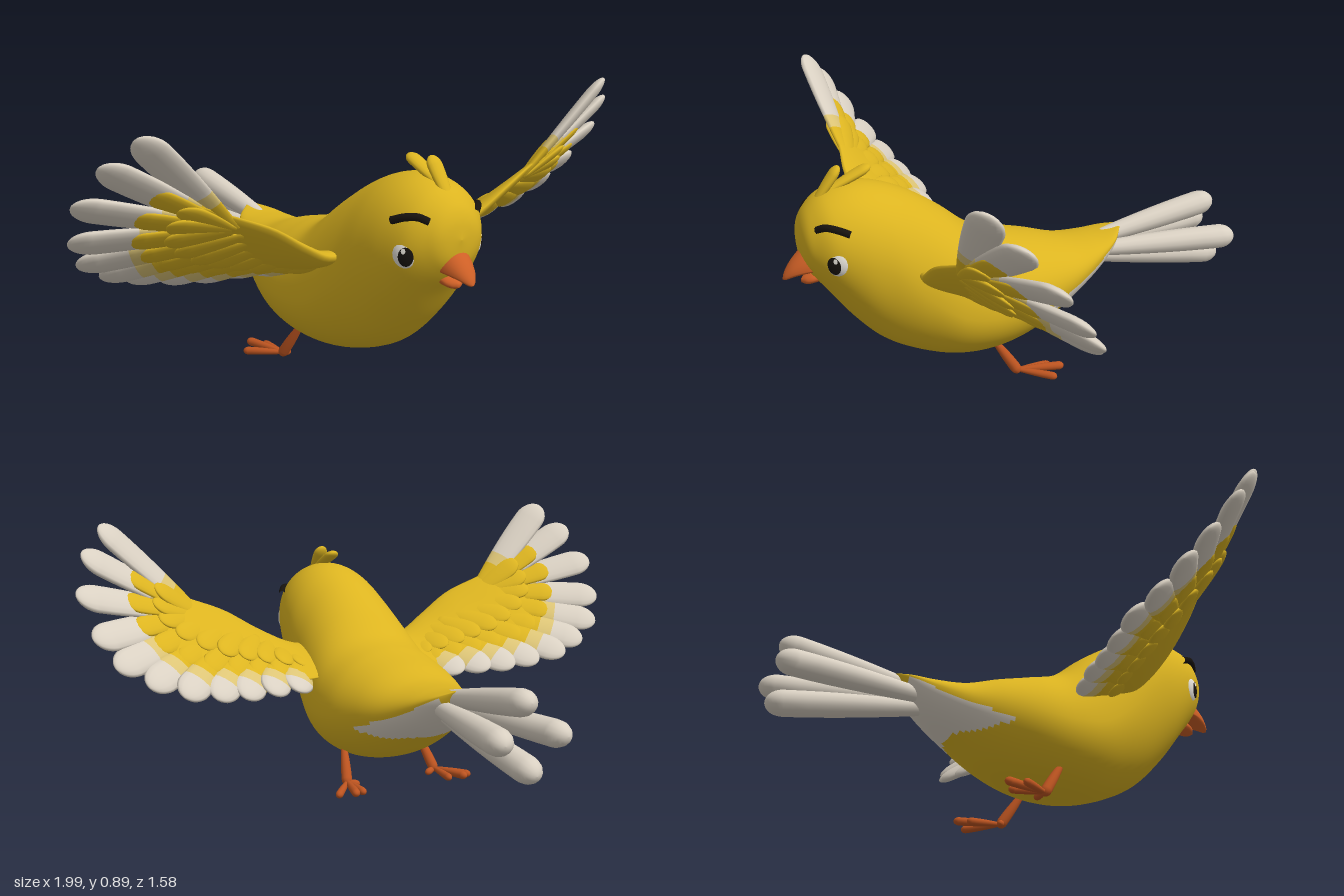
import * as THREE from 'three';

const V = (x, y, z) => new THREE.Vector3(x, y, z);
const mat = (name, color) => {
  const m = new THREE.MeshStandardMaterial({ color });
  m.name = name;
  return m;
};
const yellow = mat('yellow plumage', 0xdcb420);
const paleYellow = mat('pale yellow blend', 0xdcc476);
const cream = mat('cream feather', 0xd9d0c2);
const orange = mat('orange beak', 0xcf6026);
const rust = mat('rust legs', 0xbd5420);
const eyeWhite = mat('eye white', 0xe9e5dc);
const black = mat('black', 0x17130f);

// Closed smooth skin over rings of points; pick(i, j) chooses the material of each face
function loft(name, rings, mats, pick = () => 0) {
  const centre = r => r.reduce((s, p) => s.add(p), V(0, 0, 0)).divideScalar(r.length);
  const cap = r => r.map(() => centre(r));
  const all = [cap(rings[0]), ...rings, cap(rings[rings.length - 1])];
  const n = rings[0].length, pts = all.flat();
  const faces = mats.map(() => []);
  let volume = 0;
  const c = new THREE.Vector3();
  const tri = (list, a, b, d) => {
    list.push(a, b, d);
    volume += pts[a].dot(c.crossVectors(pts[b], pts[d]));
  };
  for (let i = 0; i < all.length - 1; i++) for (let j = 0; j < n; j++) {
    const k = (j + 1) % n, a = i * n + j, b = i * n + k;
    const list = faces[pick(Math.min(Math.max(i - 1, 0), rings.length - 2), j)];
    tri(list, a, b, b + n);
    tri(list, a, b + n, a + n);
  }
  if (volume < 0) faces.forEach(f => f.reverse());
  const g = new THREE.BufferGeometry().setFromPoints(pts);
  g.setIndex(faces.flat());
  let start = 0;
  if (mats.length > 1) faces.forEach((f, m) => { g.addGroup(start, f.length, m); start += f.length; });
  g.computeVertexNormals();
  const mesh = new THREE.Mesh(g, mats.length > 1 ? mats : mats[0]);
  mesh.name = name;
  return mesh;
}

// Egg-shaped slices along z, each [z, bottom, top, half width, height of widest point]
function sliceLoft(name, slices, steps, sides, mats, pick) {
  const a = new THREE.CatmullRomCurve3(slices.map(s => V(s[0], s[1], s[2])), false, 'catmullrom');
  const b = new THREE.CatmullRomCurve3(slices.map(s => V(s[3], s[4], 0)), false, 'catmullrom');
  const rings = [];
  for (let i = 0; i <= steps; i++) {
    const p = a.getPoint(i / steps), q = b.getPoint(i / steps);
    rings.push(Array.from({ length: sides }, (_, j) => {
      const t = j / sides * Math.PI * 2, s = Math.sin(t);
      return V(Math.max(q.x, 0) * Math.cos(t), q.y + s * (s > 0 ? p.z - q.y : q.y - p.y), p.x);
    }));
  }
  return loft(name, rings, mats, pick && ((i, j) => pick(rings[i][0].z, Math.sin((j + .5) / sides * Math.PI * 2))));
}

// Round-tipped blade from base to tip; tipLength of it takes the later materials
function feather(name, base, tip, width, thick, normal, mats, tipLength = 0) {
  const d = tip.clone().sub(base), len = d.length();
  d.normalize();
  const side = normal.clone().cross(d).normalize(), up = d.clone().cross(side);
  const round = 1 - 1.3 * width / len, split = 1 - tipLength / len, band = .05 / len;
  const ts = [];
  for (let i = 0; i <= 8; i++) ts.push(round * i / 8);
  for (let i = 1; i <= 8; i++) ts.push(round + (1 - round) * Math.sin(i / 8 * Math.PI / 2));
  if (mats.length > 1) ts.push(split, split - band);
  ts.sort((a, b) => a - b);
  const rings = ts.map(t => {
    const u = (t - round) / (1 - round);
    const r = t > round ? Math.sqrt(Math.max(0, 1 - u * u)) : .5 + .5 * Math.sin(t / round * Math.PI / 2);
    const p = base.clone().addScaledVector(d, t * len);
    return Array.from({ length: 14 }, (_, j) => {
      const a = j / 14 * Math.PI * 2;
      return p.clone().addScaledVector(side, Math.cos(a) * r * width).addScaledVector(up, Math.sin(a) * r * thick);
    });
  });
  return loft(name, rings, mats, i => {
    const t = (ts[i] + ts[i + 1]) / 2;
    return mats.length < 2 || t < split - band ? 0 : t < split ? 1 : 2;
  });
}

// Mirrored copy of a mesh across x
function mirror(mesh) {
  mesh.updateMatrix();
  const g = mesh.geometry.clone().applyMatrix4(mesh.matrix).applyMatrix4(new THREE.Matrix4().makeScale(-1, 1, 1));
  const ix = g.index.array;
  for (let i = 0; i < ix.length; i += 3) [ix[i], ix[i + 1]] = [ix[i + 1], ix[i]];
  const m = new THREE.Mesh(g, mesh.material);
  m.name = mesh.name;
  return m;
}

function buildWing() {
  const parts = [];
  // Fleshy yellow arm between leading and trailing edges
  const lead = new THREE.CatmullRomCurve3([V(.12, .45, .39), V(.22, .45, .41), V(.33, .505, .44), V(.45, .58, .45), V(.58, .635, .43), V(.70, .685, .43)]);
  const trail = new THREE.CatmullRomCurve3([V(.12, .37, .2), V(.25, .365, .18), V(.36, .37, .18), V(.5, .39, .17), V(.66, .44, .18), V(.75, .57, .30)]);
  const rings = [];
  for (let i = 0; i <= 24; i++) {
    const s = i / 24, a = lead.getPoint(s), b = trail.getPoint(s);
    const n = V(-.4, .65, -.62).normalize(), thick = .045 - .033 * s;
    rings.push(Array.from({ length: 24 }, (_, j) => {
      const t = j / 24 * Math.PI * 2, u = (1 - Math.cos(t)) / 2;
      return a.clone().lerp(b, u).addScaledVector(n, Math.sin(t) * thick * (1 - .55 * u));
    }));
  }
  parts.push(loft('wingArm', rings, [yellow]));

  // Fan of flight feathers from the wing tip in towards the body
  const tips = [[.87, .89, .45], [.95, .81, .38], [.995, .69, .29], [.97, .56, .20], [.92, .475, .14], [.83, .415, .10],
    [.73, .38, .07], [.62, .36, .08], [.52, .35, .09], [.42, .35, .10], [.32, .345, .12]];
  const tipLengths = [.27, .26, .24, .20, .16, .12, .10, .09, .08, .07, .06];
  const wrist = V(.56, .585, .40), root = V(.22, .42, .34);
  tips.forEach((p, i) => {
    const tip = V(...p), base = wrist.clone().lerp(root, Math.max(0, (i - 3) / 7));
    const n = V(-.375, .486, -.79).lerp(V(-.41, .73, -.55), i / 10).normalize();
    const along = tip.clone().sub(base).normalize();
    const tilted = n.clone().applyAxisAngle(along, .18);
    parts.push(feather('flightFeather', base, tip, .056, .02, tilted, [yellow, paleYellow, cream], tipLengths[i]));
    // Short yellow feathers layered over both faces of the wing
    if (i > 0) for (const [reach, lift] of [[.64, .012], [.42, .024]]) for (const s of [1, -1]) {
      const end = base.clone().lerp(tip, reach).addScaledVector(n, s * lift);
      parts.push(feather('covertFeather', base.clone().addScaledVector(n, s * .006), end, .042, .012, tilted, [yellow]));
    }
  });
  return parts;
}

function buildEye() {
  // Flattened eyeball with thin pupil and glint caps
  const cap = (name, m, size, angle, tiltX, tiltY) => {
    const g = new THREE.SphereGeometry(1, 28, 16, 0, Math.PI * 2, 0, angle);
    g.rotateX(Math.PI / 2 - tiltX).rotateY(tiltY).scale(...size);
    g.rotateY(.82).translate(.120, .503, .637);
    const mesh = new THREE.Mesh(g, m);
    mesh.name = name;
    return mesh;
  };
  return [
    cap('eyeRim', black, [.053, .060, .026], Math.PI, 0, 0),
    cap('eyeball', eyeWhite, [.050, .057, .036], Math.PI, 0, 0),
    cap('pupil', black, [.051, .066, .0375], .46, -.12, 0),
    cap('glint', eyeWhite, [.052, .066, .0385], .13, .16, .14),
  ];
}

function buildLeg() {
  const limb = (name, a, b, r) => feather(name, V(...a), V(...b), r, r, V(.1, 1, .2), [rust]);
  const ankle = [.17, .026, .065];
  return [
    limb('shin', [.145, .14, .14], [.172, .015, .06], .018),
    limb('outerToe', ankle, [.255, .018, -.04], .013),
    limb('middleToe', ankle, [.21, .03, -.085], .014),
    limb('innerToe', ankle, [.165, .02, -.055], .013),
    limb('backToe', ankle, [.13, .016, .05], .012),
  ];
}

export function createModel() {
  const model = new THREE.Group();
  model.name = 'bird';
  const group = (name, parts) => {
    const g = new THREE.Group();
    g.name = name;
    g.add(...parts);
    model.add(g);
  };

  // Head, belly and rump in one skin, with a cream patch on each lower flank
  model.add(sliceLoft('body', [
    [.735, .54, .54, 0, .54], [.725, .47, .60, .065, .54], [.70, .425, .645, .105, .53], [.65, .36, .685, .15, .52],
    [.57, .255, .705, .18, .49], [.48, .165, .695, .195, .45], [.38, .11, .655, .21, .36], [.27, .078, .585, .23, .28],
    [.16, .074, .50, .24, .26], [.05, .095, .465, .235, .27], [-.06, .138, .437, .205, .29], [-.17, .205, .405, .16, .31],
    [-.27, .27, .40, .115, .35], [-.34, .335, .405, .075, .385], [-.385, .408, .414, .02, .411],
  ], 112, 72, [yellow, cream], (z, s) => {
    const k = (-.04 - z) / .2;
    return k > 0 && z > -.35 && -s > .25 - .1 * k && -s < .3 + .9 * k ? 1 : 0;
  }));

  // Beak
  model.add(sliceLoft('upperBeak', [[.66, .43, .525, .055, .455], [.70, .435, .525, .056, .452], [.73, .43, .502, .048, .448],
    [.76, .422, .47, .033, .438], [.78, .414, .44, .016, .425], [.788, .416, .42, .002, .418]], 24, 24, [orange]));
  model.add(sliceLoft('lowerBeak', [[.64, .40, .44, .034, .42], [.69, .393, .432, .037, .412], [.715, .39, .42, .026, .405],
    [.73, .396, .408, .004, .402]], 16, 20, [orange]));

  // Crest
  group('crest', [
    feather('frontCrest', V(0, .635, .685), V(0, .762, .59), .026, .015, V(0, .6, .8), [yellow]),
    feather('backCrest', V(0, .675, .655), V(0, .75, .49), .026, .015, V(0, .9, .4), [yellow]),
  ]);

  // Tail clubs in a diamond
  const club = (a, b) => feather('tailFeather', V(...a), V(...b), .045, .042, V(0, 1, 0), [cream]);
  const sideTail = club([.02, .345, -.24], [.108, .345, -.79]);
  group('tail', [club([0, .365, -.25], [0, .45, -.76]), club([0, .325, -.22], [0, .243, -.79]), sideTail, mirror(sideTail)]);

  // Eyebrow
  const browPath = new THREE.CatmullRomCurve3([V(.088, .598, .692), V(.113, .611, .672), V(.137, .609, .645), V(.157, .595, .607)]);
  const brow = new THREE.Mesh(new THREE.TubeGeometry(browPath, 16, .012, 8), black);
  brow.name = 'eyebrow';

  // Paired parts
  for (const [name, parts] of [['Wing', buildWing()], ['Eye', [...buildEye(), brow]], ['Leg', buildLeg()]]) {
    group('left' + name, parts);
    group('right' + name, parts.map(mirror));
  }
  return model;
}
